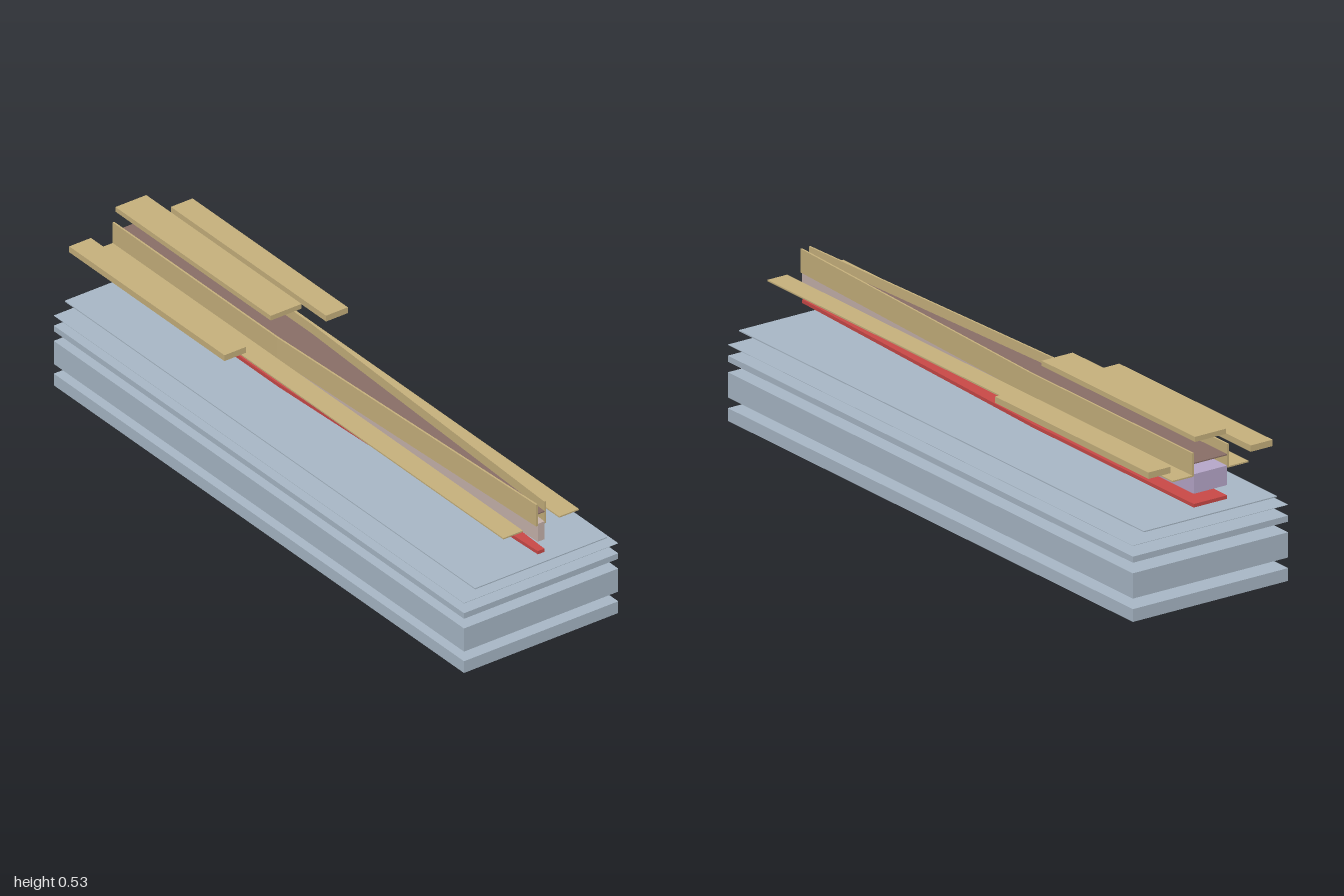
import * as THREE from 'three';

const TAPER_START = -0.2; // every tapered part is parallel up to here

const mat = (name, color) => {
  const m = new THREE.MeshStandardMaterial({ color });
  m.name = name;
  return m;
};

export function createModel() {
  const model = new THREE.Group();
  model.name = 'explodedLayerStack';

  const blue = mat('paleBlue', 0xaabac9);
  const tan = mat('tan', 0xc9b37e);
  const red = mat('red', 0xcc4a48);
  const pink = mat('palePink', 0xc9b5ae);
  const purple = mat('paleViolet', 0xb9a9cc);
  const brown = mat('brown', 0x8b7068);

  const add = (name, geometry, material) => {
    const mesh = new THREE.Mesh(geometry, material);
    mesh.name = name;
    model.add(mesh);
  };

  // Box given by its limits on each axis
  const slab = (name, material, x0, x1, y0, y1, z0, z1) => {
    const g = new THREE.BoxGeometry(x1 - x0, y1 - y0, z1 - z0);
    g.translate((x0 + x1) / 2, (y0 + y1) / 2, (z0 + z1) / 2);
    add(name, g, material);
  };

  // Plan outline of [x, z] points raised from y0 to y1
  const prism = (name, material, points, y0, y1) => {
    const shape = new THREE.Shape(points.map(([x, z]) => new THREE.Vector2(x, -z)));
    const g = new THREE.ExtrudeGeometry(shape, { depth: y1 - y0, bevelEnabled: false });
    g.rotateX(-Math.PI / 2);
    g.translate(0, y0, 0);
    add(name, g, material);
  };

  // Symmetric wedge outline, wide at -x and narrow at +x
  const wide = 0.06, narrow = 0.012;
  const wedge = [
    [-1, -wide], [TAPER_START, -wide], [1, -narrow],
    [1, narrow], [TAPER_START, wide], [-1, wide],
  ];

  // Base layers
  slab('bottomLayer', blue, -1, 1, 0, 0.04, -0.28, 0.28);
  slab('thickLayer', blue, -1, 1, 0.073, 0.152, -0.28, 0.28);
  slab('thinLayer', blue, -1, 1, 0.185, 0.204, -0.28, 0.28);
  slab('filmLayer', blue, -1, 1, 0.2375, 0.2387, -0.28, 0.28);
  slab('narrowLayer', blue, -1, 1, 0.271, 0.2745, -0.24, 0.24);

  // Tapered ridge: red strip, two-part core and thin cap
  prism('redStrip', red, wedge, 0.307, 0.318);
  slab('straightCore', purple, -1, TAPER_START, 0.35, 0.411, -wide, wide);
  prism('taperedCore', pink, wedge.slice(1, 5), 0.35, 0.411);
  prism('capSheet', brown, wedge, 0.443, 0.4465);

  // Walls, flanges and side contacts on both sides
  const t = 0.006;
  for (const [side, s] of [['front', 1], ['back', -1]]) {
    prism(side + 'Wall', tan, [
      [-1, s * wide], [TAPER_START, s * wide], [1, s * narrow],
      [1, s * (narrow + t)], [TAPER_START, s * (wide + t)], [-1, s * (wide + t)],
    ], 0.404, 0.478);
    const span = (a, b) => (s > 0 ? [a, b] : [-b, -a]);
    slab(side + 'Flange', tan, -1, 1, 0.4035, 0.408, ...span(0.066, 0.137));
    slab(side + 'Contact', tan, -1, -0.243, 0.434, 0.454, ...span(0.145, 0.224));
  }

  // Top contact over the straight part
  slab('topContact', tan, -1, -0.243, 0.511, 0.527, -0.056, 0.056);

  return model;
}
